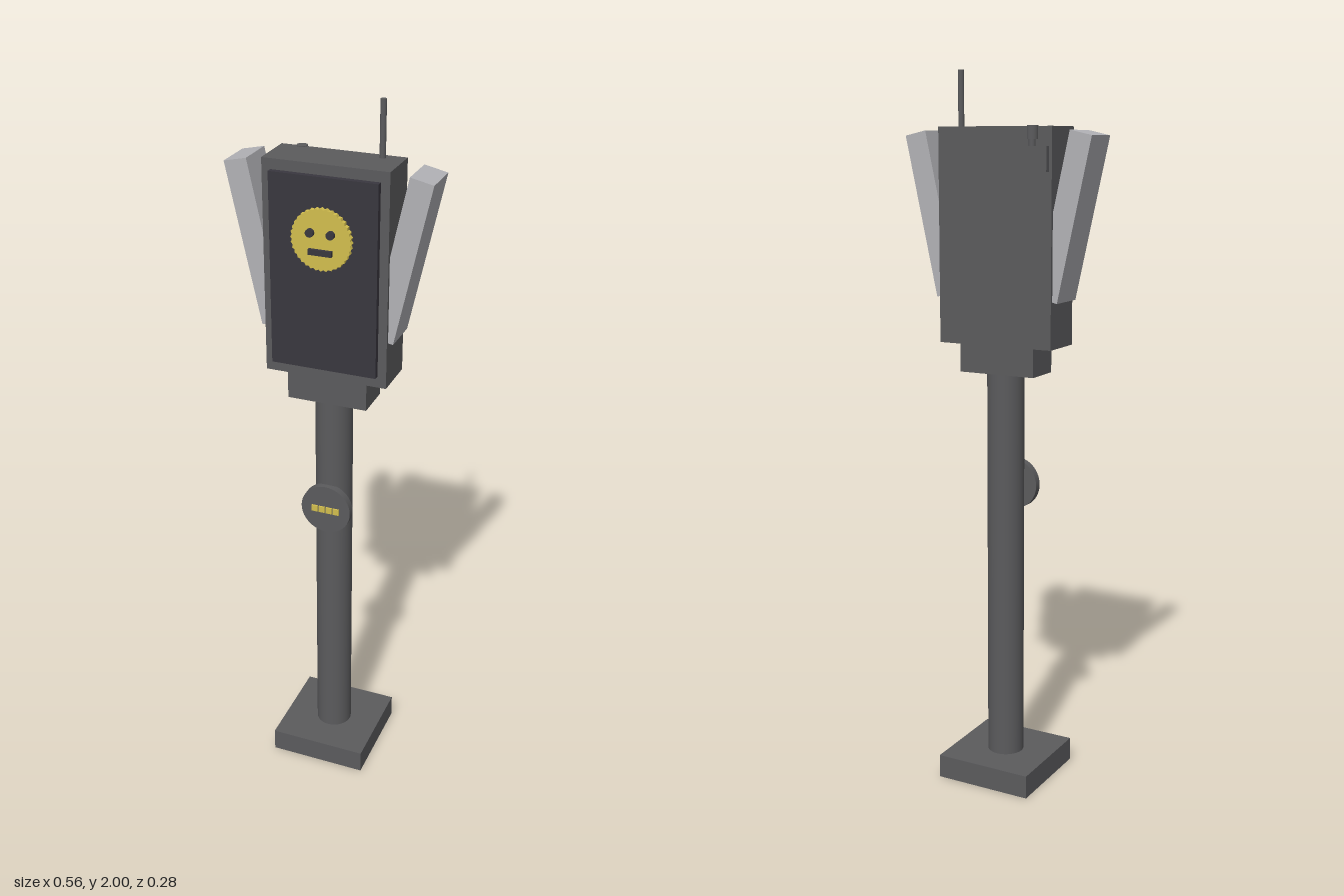
import * as THREE from 'three';

const flat = (name, color) => {
  const m = new THREE.MeshStandardMaterial({ color });
  m.name = name;
  return m;
};

export function createModel() {
  const model = new THREE.Group();
  model.name = 'infoPost';
  const grey = flat('darkGrey', 0x5b5b5d);
  const silver = flat('lightGrey', 0xb2b2b6);
  const glass = flat('screenBlack', 0x39373f);
  const yellow = flat('yellow', 0xd2be4e);

  const add = (name, geo, mat, x, y, z) => {
    const mesh = new THREE.Mesh(geo, mat);
    mesh.name = name;
    mesh.position.set(x, y, z);
    model.add(mesh);
    return mesh;
  };
  // box from its x, y and z ranges
  const box = (name, mat, [x0, x1], [y0, y1], [z0, z1]) =>
    add(name, new THREE.BoxGeometry(x1 - x0, y1 - y0, z1 - z0), mat,
      (x0 + x1) / 2, (y0 + y1) / 2, (z0 + z1) / 2);
  // upright cylinder between two heights
  const post = (name, r, y0, y1, x, z) =>
    add(name, new THREE.CylinderGeometry(r, r, y1 - y0, 32), grey, x, (y0 + y1) / 2, z);
  // disc facing the front
  const disc = (name, mat, r, x, y, z0, z1) => {
    const geo = new THREE.CylinderGeometry(r, r, z1 - z0, 40).rotateX(Math.PI / 2);
    return add(name, geo, mat, x, y, (z0 + z1) / 2);
  };

  // stand
  box('base', grey, [-0.142, 0.142], [0, 0.067], [-0.142, 0.142]);
  post('pole', 0.052, 0.067, 1.19, 0, 0);
  box('neck', grey, [-0.113, 0.113], [1.19, 1.27], [-0.055, 0.055]);

  // cabinet and screen
  box('cabinet', grey, [-0.171, 0.171], [1.27, 1.853], [-0.066, 0.064]);
  box('screen', glass, [-0.147, 0.147], [1.302, 1.825], [0.064, 0.08]);

  // face with a finely scalloped rim
  const rim = new THREE.Shape();
  const steps = 72;
  for (let i = 0; i < steps; i++) {
    const a = (i / steps) * Math.PI * 2;
    const r = i % 2 ? 0.079 : 0.083;
    rim[i ? 'lineTo' : 'moveTo'](r * Math.cos(a), r * Math.sin(a));
  }
  rim.closePath();
  add('face', new THREE.ExtrudeGeometry(rim, { depth: 0.013, bevelEnabled: false }),
    yellow, 0, 1.667, 0.08);
  box('mouth', glass, [-0.032, 0.032], [1.628, 1.643], [0.093, 0.102]);

  for (const s of [-1, 1]) {
    disc(s > 0 ? 'leftEye' : 'rightEye', glass, 0.011, s * 0.028, 1.685, 0.093, 0.103);
    // side panels leaning outward
    const wing = add(s > 0 ? 'leftPanel' : 'rightPanel',
      new THREE.BoxGeometry(0.064, 0.445, 0.113), silver, s * 0.201, 1.619, -0.0015);
    wing.rotation.z = -s * 0.216;
  }

  // round plate on the pole with a row of small marks
  disc('roundPlate', grey, 0.073, 0, 0.861, 0.045, 0.067);
  for (let i = 0; i < 4; i++) {
    const x = -0.0315 + i * 0.021;
    box('plateMark', yellow, [x - 0.009, x + 0.009], [0.852, 0.87], [0.067, 0.072]);
  }

  // antenna and rear sensor
  post('antenna', 0.008, 1.853, 2, 0.113, -0.042);
  box('sensorBox', grey, [-0.163, -0.065], [1.737, 1.802], [-0.082, -0.066]);
  post('sensorStem', 0.009, 1.8, 1.825, -0.115, -0.069);
  post('sensorCap', 0.015, 1.82, 1.855, -0.115, -0.067);

  return model;
}
